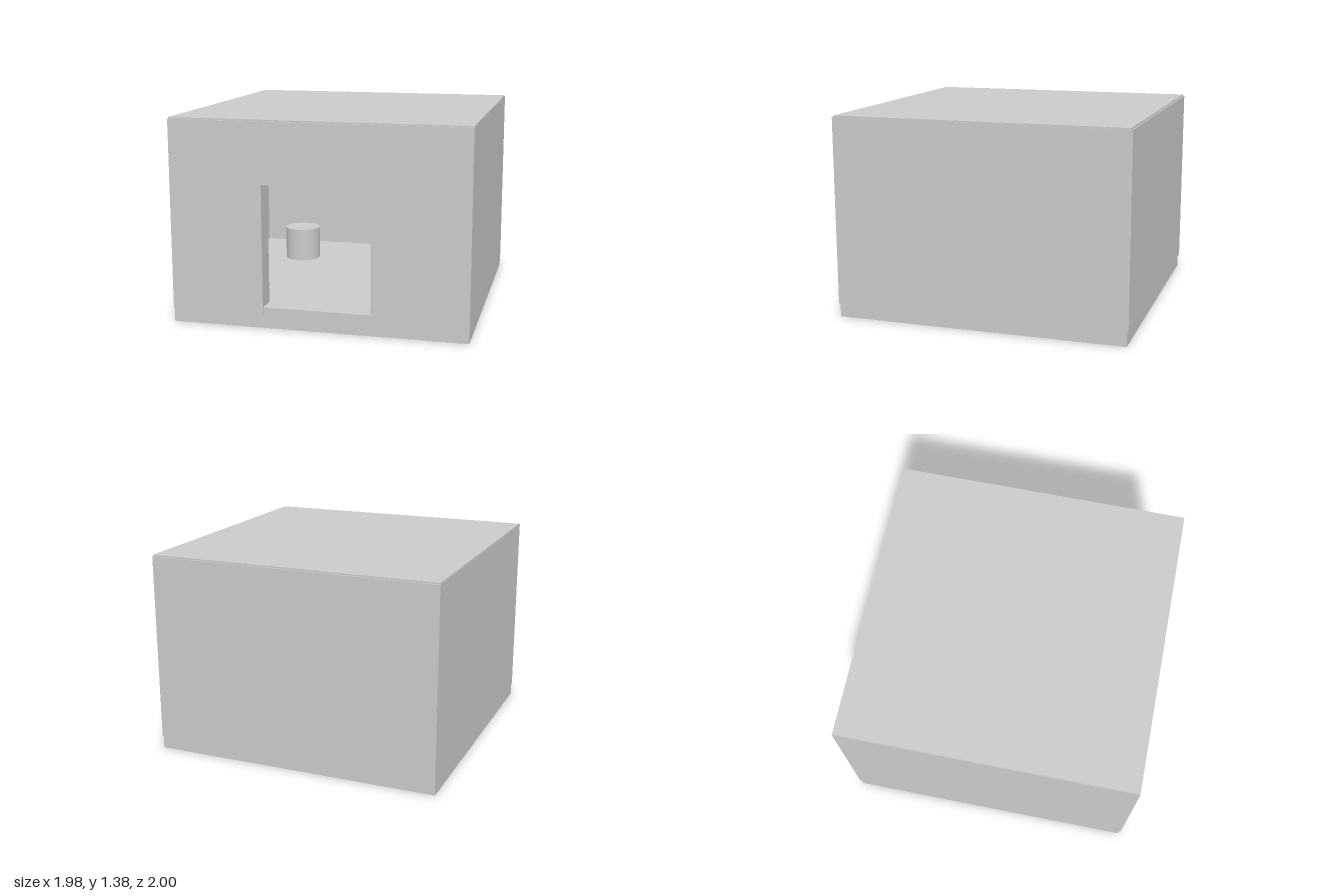
import * as THREE from 'three';

const grey = new THREE.MeshStandardMaterial({ color: 0xcccccc, flatShading: true });
const smooth = new THREE.MeshStandardMaterial({ color: 0xcccccc });

// Box given by its low and high corners
function block(name, [x0, y0, z0], [x1, y1, z1]) {
  const mesh = new THREE.Mesh(new THREE.BoxGeometry(x1 - x0, y1 - y0, z1 - z0), grey);
  mesh.name = name;
  mesh.position.set((x0 + x1) / 2, (y0 + y1) / 2, (z0 + z1) / 2);
  return mesh;
}

export function createModel() {
  const room = new THREE.Group();
  room.name = 'room';
  const halfX = 0.992, slabX = 0.99, slabZ = 0.99;
  const wallBottom = 0.09, wallTop = 1.365, floorY = 0.14, roofTop = 1.375;
  const thick = 0.14;

  // Floor and roof slabs, set slightly behind the front and back walls
  room.add(block('floorSlab', [-slabX, 0, -slabZ], [slabX, floorY, slabZ]));
  room.add(block('roofSlab', [-slabX, roofTop - thick, -slabZ], [slabX, roofTop, slabZ]));

  // Front wall outline with the doorway cut up from its lower edge
  const doorLeft = -0.365, doorRight = 0.355, doorTop = 0.955;
  const outline = new THREE.Shape([
    [-halfX, wallBottom], [doorLeft, wallBottom], [doorLeft, doorTop], [doorRight, doorTop],
    [doorRight, wallBottom], [halfX, wallBottom], [halfX, wallTop], [-halfX, wallTop],
  ].map(([x, y]) => new THREE.Vector2(x, y)));
  const frontWall = new THREE.Mesh(
    new THREE.ExtrudeGeometry(outline, { depth: thick, bevelEnabled: false }), grey);
  frontWall.name = 'frontWall';
  frontWall.position.z = 1 - thick;
  room.add(frontWall);

  // Back wall and thinner side walls
  room.add(block('backWall', [-halfX, wallBottom, -1], [halfX, wallTop, -1 + thick]));
  room.add(block('leftWall', [0.93, wallBottom, -1 + thick], [halfX, wallTop, 1 - thick]));
  room.add(block('rightWall', [-halfX, wallBottom, -1 + thick], [-0.93, wallTop, 1 - thick]));

  // Round stool standing on the floor inside
  const stool = new THREE.Mesh(new THREE.CylinderGeometry(0.13, 0.13, 0.24, 32), smooth);
  stool.name = 'stool';
  stool.position.set(-0.485, floorY + 0.12, -0.35);
  room.add(stool);

  return room;
}
